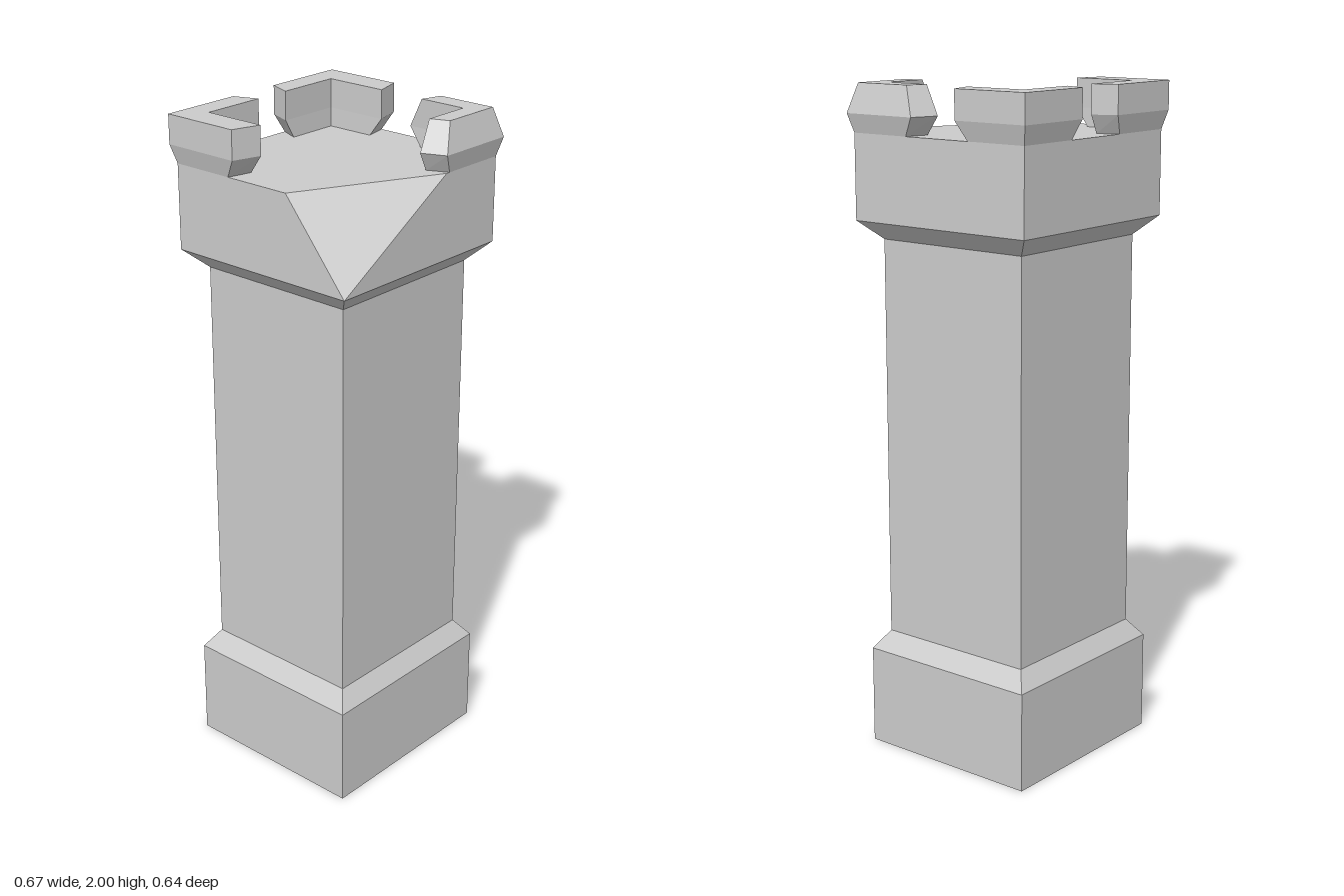
import * as THREE from 'three';
import { ConvexGeometry } from 'three/addons/geometries/ConvexGeometry.js';

const material = new THREE.MeshStandardMaterial({ color: 0xcccccc, flatShading: true });

// Four corners of a level rectangle, ending with the front corner on -x
const rect = (x, y, z) =>
  [[x, z], [x, -z], [-x, -z], [-x, z]].map(([px, pz]) => new THREE.Vector3(px, y, pz));

function addMesh(group, name, geometry) {
  const mesh = new THREE.Mesh(geometry, material);
  mesh.name = name;
  group.add(mesh);
}

// L-shaped ring: outer corner, end on the x side, inner corner, end on the z side
const ring = (y, ox, oz, ix, iz, endZ, endX) => [
  [ox, y, oz], [ox, y, endZ[0]], [ix, y, endZ[1]],
  [ix, y, iz], [endX[1], y, iz], [endX[0], y, oz],
];

// Loft the rings into a corner battlement, mirrored by the signs sx and sz
function battlement(rings, sx, sz) {
  const positions = [];
  const put = (p) => positions.push(p[0] * sx, p[1], p[2] * sz);
  const quad = (...q) => {
    if (sx * sz < 0) q.reverse();
    [0, 1, 2, 0, 2, 3].forEach((k) => put(q[k]));
  };
  for (let r = 0; r < rings.length - 1; r++) {
    const low = rings[r], high = rings[r + 1];
    for (let i = 0; i < 6; i++) {
      const j = (i + 1) % 6;
      quad(low[i], low[j], high[j], high[i]);
    }
  }
  // Top cap as two mitred halves
  const t = rings[rings.length - 1];
  quad(t[0], t[1], t[2], t[3]);
  quad(t[0], t[3], t[4], t[5]);
  const geometry = new THREE.BufferGeometry();
  geometry.setAttribute('position', new THREE.Float32BufferAttribute(positions, 3));
  geometry.computeVertexNormals();
  return geometry;
}

export function createModel() {
  const tower = new THREE.Group();
  tower.name = 'tower';

  // Pedestal with a sloped shoulder, then the plain shaft
  addMesh(tower, 'pedestal', new ConvexGeometry([
    ...rect(0.305, 0, 0.29), ...rect(0.305, 0.3, 0.29), ...rect(0.262, 0.355, 0.252),
  ]));
  addMesh(tower, 'shaft', new ConvexGeometry([
    ...rect(0.262, 0.355, 0.252), ...rect(0.262, 1.555, 0.252),
  ]));

  // Flared head with one front corner broken away by a slanting cut
  addMesh(tower, 'head', new ConvexGeometry([
    ...rect(0.262, 1.555, 0.252),
    ...rect(0.32, 1.61, 0.307),
    ...rect(0.32, 1.86, 0.307).slice(0, 3),
    new THREE.Vector3(0.1, 1.86, 0.307),
    new THREE.Vector3(-0.32, 1.86, 0.1),
  ]));

  // Battlements on the three surviving corners; the front one is worn at the top
  const foot = ring(1.86, 0.32, 0.307, 0.247, 0.246, [0.112, 0.095], [0.112, 0.085]);
  const middle = ring(1.915, 0.335, 0.321, 0.25, 0.249, [0.079, 0.054], [0.083, 0.055]);
  const top = ring(2, 0.335, 0.321, 0.25, 0.249, [0.079, 0.054], [0.083, 0.055]);
  const wornTop = ring(2, 0.31, 0.298, 0.247, 0.243, [0.115, 0.096], [0.12, 0.099]);
  addMesh(tower, 'backLeftBattlement', battlement([foot, middle, top], 1, -1));
  addMesh(tower, 'backRightBattlement', battlement([foot, middle, top], -1, -1));
  addMesh(tower, 'frontLeftBattlement', battlement([foot, middle, wornTop], 1, 1));

  return tower;
}
